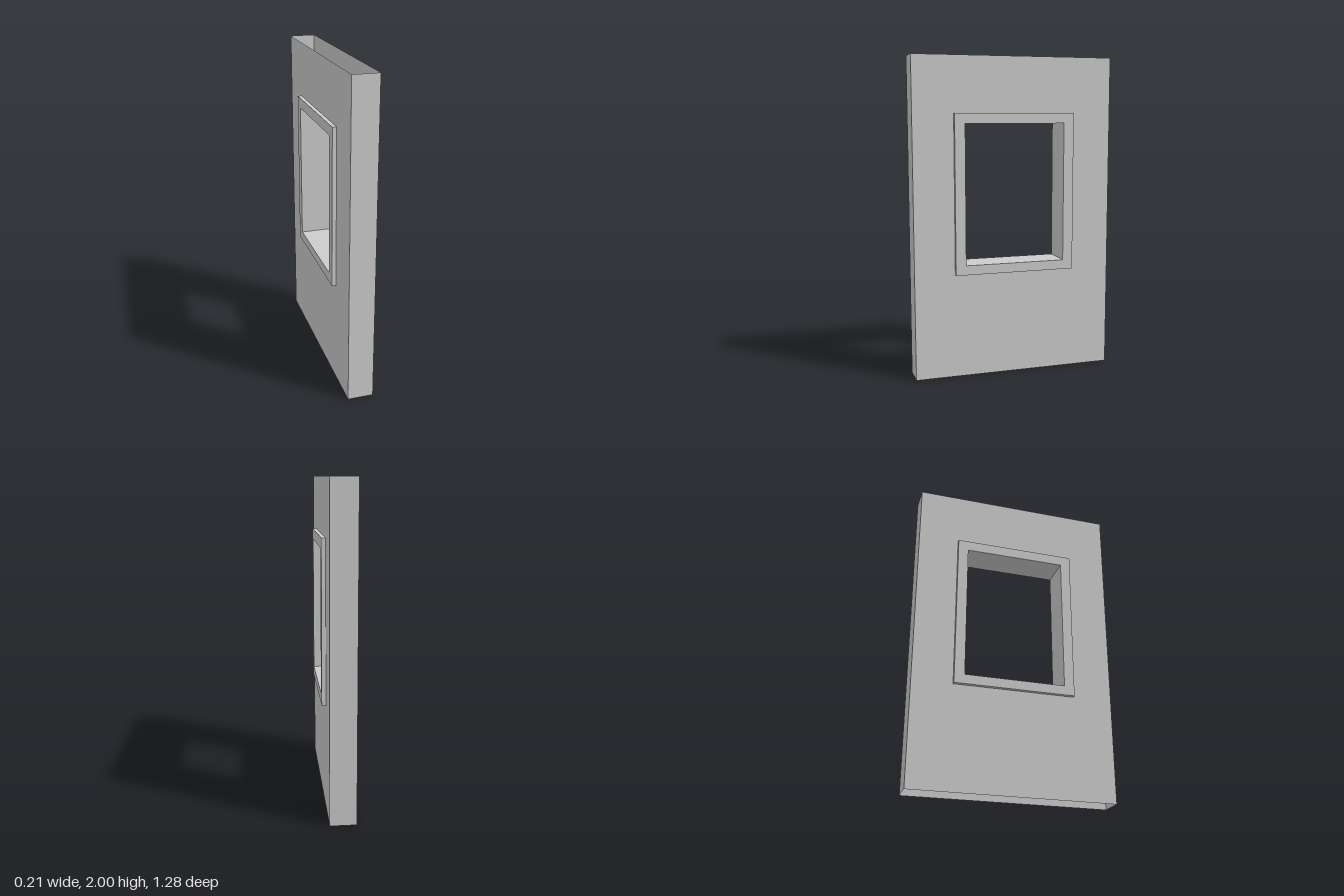
import * as THREE from 'three';

const material = new THREE.MeshStandardMaterial({ color: 0xcccccc, side: THREE.DoubleSide });

// Rectangles in the z-y plane: half width in z, bottom and top in y
const WALL = { half: 0.64, bottom: 0, top: 2 };
const TRIM = { half: 0.385, bottom: 0.655, top: 1.655 };
const OPENING = { half: 0.32, bottom: 0.715, top: 1.59 };
const WALL_X = 0.08;
const TRIM_X = 0.105;

function outline(target, r) {
  target.moveTo(-r.half, r.bottom);
  target.lineTo(r.half, r.bottom);
  target.lineTo(r.half, r.top);
  target.lineTo(-r.half, r.top);
  target.closePath();
  return target;
}

// Flat sheet with a rectangular hole, facing outward along side * x
function holedSheet(name, outer, inner, x, side) {
  const shape = outline(new THREE.Shape(), outer);
  shape.holes.push(outline(new THREE.Path(), inner));
  const mesh = new THREE.Mesh(new THREE.ShapeGeometry(shape), material);
  mesh.name = name;
  mesh.rotation.y = side * Math.PI / 2;
  mesh.position.x = side * x;
  return mesh;
}

// Open rectangular sleeve along x; facing is 1 for outward, -1 for inward
function sleeve(name, r, x, depth, facing, caps = true) {
  const group = new THREE.Group();
  group.name = name;
  const height = r.top - r.bottom;
  for (const s of [-1, 1]) {
    const end = new THREE.Mesh(new THREE.PlaneGeometry(depth, height), material);
    end.name = name + 'Side';
    end.position.set(x, (r.top + r.bottom) / 2, s * r.half);
    end.rotation.y = s * facing > 0 ? 0 : Math.PI;
    group.add(end);
    if (!caps) continue;
    const cap = new THREE.Mesh(new THREE.PlaneGeometry(depth, 2 * r.half), material);
    cap.name = name + (s > 0 ? 'Top' : 'Bottom');
    cap.position.set(x, s > 0 ? r.top : r.bottom, 0);
    cap.rotation.x = -s * facing * Math.PI / 2;
    group.add(cap);
  }
  return group;
}

export function createModel() {
  const model = new THREE.Group();
  model.name = 'windowWall';

  // Hollow wall: narrow ends only, open at the top and bottom
  model.add(sleeve('wallEnds', WALL, 0, 2 * WALL_X, 1, false));

  // Wall faces with raised window trim on both sides
  for (const side of [-1, 1]) {
    model.add(holedSheet('wallFace', WALL, TRIM, WALL_X, side));
    model.add(holedSheet('trimFace', TRIM, OPENING, TRIM_X, side));
    model.add(sleeve('trimEdge', TRIM, side * (WALL_X + TRIM_X) / 2, TRIM_X - WALL_X, 1));
  }

  // Lining of the window opening, running through the wall
  model.add(sleeve('windowReveal', OPENING, 0, 2 * TRIM_X, -1));

  return model;
}
